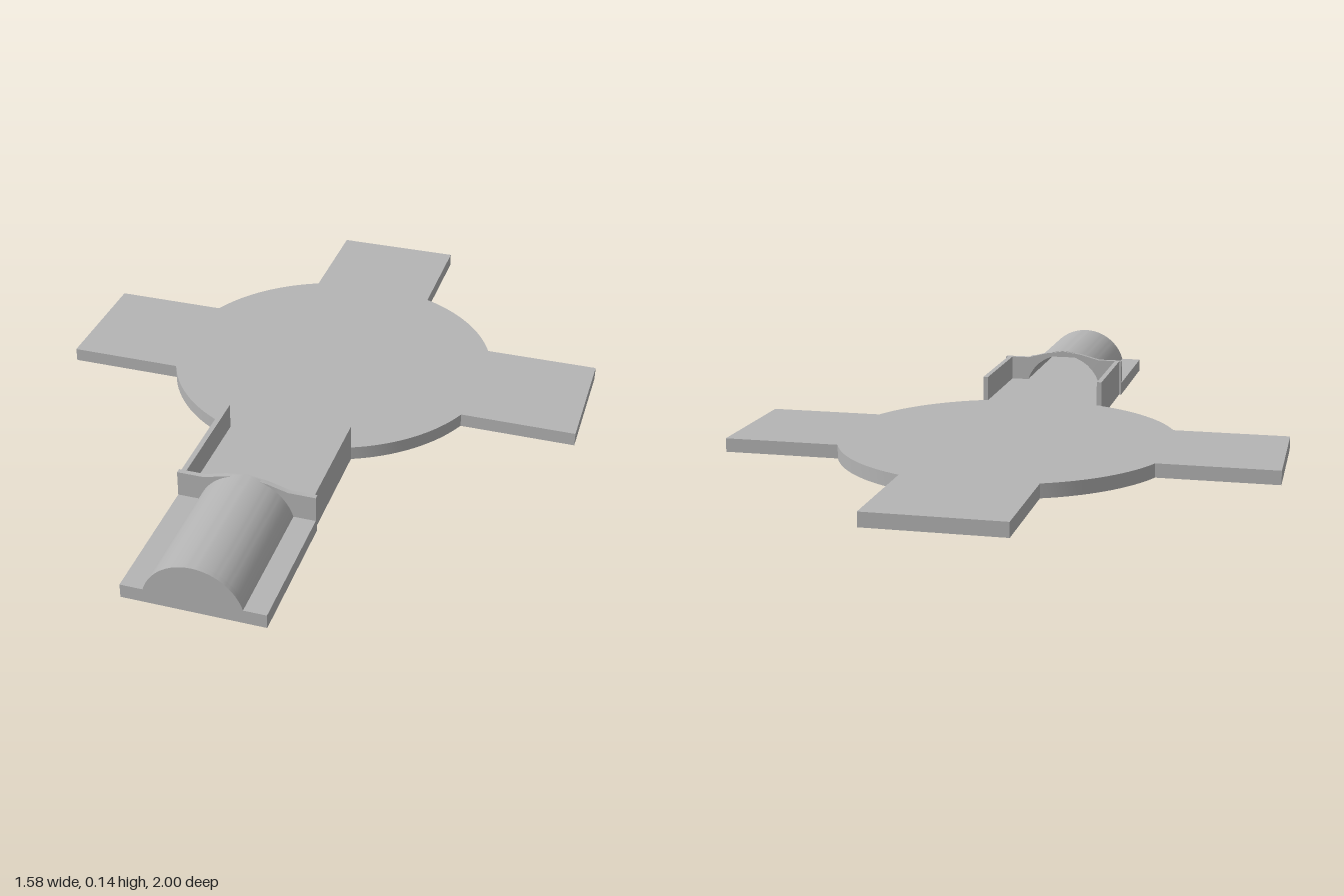
import * as THREE from 'three';
import { toCreasedNormals } from 'three/addons/utils/BufferGeometryUtils.js';

const T = 0.04; // floor thickness

export function createModel() {
  const model = new THREE.Group();
  model.name = 'crossPlatform';
  const grey = new THREE.MeshStandardMaterial({ color: 0xb4b4b4 });
  grey.name = 'grey';

  const add = (name, geometry, x = 0, y = 0, z = 0) => {
    const mesh = new THREE.Mesh(geometry, grey);
    mesh.name = name;
    mesh.position.set(x, y, z);
    model.add(mesh);
  };
  const extrude = (shape, depth, curveSegments = 12) =>
    toCreasedNormals(new THREE.ExtrudeGeometry(shape, { depth, bevelEnabled: false, curveSegments }), 0.35);

  // Round floor with four arms, drawn as one outline around the disc centre
  const R = 0.49, W = 0.19, cz = -0.21;
  const half = Math.asin(W / R);
  const reach = [0.79, 0.79, 0.79, 0.80]; // left, back, right, front
  const outline = new THREE.Shape();
  reach.forEach((d, i) => {
    const a = i * Math.PI / 2, c = Math.cos(a), s = Math.sin(a);
    const inner = Math.sqrt(R * R - W * W);
    [[inner, -W], [d, -W], [d, W], [inner, W]].forEach(([u, v], k) => {
      const x = u * c - v * s, y = u * s + v * c;
      if (i === 0 && k === 0) outline.moveTo(x, y);
      else outline.lineTo(x, y);
    });
    outline.absarc(0, 0, R, a + half, a + Math.PI / 2 - half, false);
  });
  add('floorPlate', extrude(outline, T, 8).rotateX(-Math.PI / 2), 0, 0, cz);

  // Entrance base
  add('entranceBase', new THREE.BoxGeometry(0.394, T, 0.41), 0, T / 2, 0.795);

  // Side walls of the passage
  for (const side of [-1, 1]) {
    add(side > 0 ? 'leftWall' : 'rightWall',
      new THREE.BoxGeometry(0.015, 0.115, 0.345), side * 0.1826, 0.0575, 0.4175);
  }

  // Half-round profile standing on the floor, part of a circle centred on the ground
  const arc = (r, cls) => {
    const p = new cls();
    const a = Math.asin(T / r);
    p.absarc(0, 0, r, a, Math.PI - a, false);
    p.closePath();
    return p;
  };

  // Cross wall with an arched doorway
  const wall = new THREE.Shape([
    [-0.197, T], [-0.12, T], [-0.12, T + 0.001], ...Array.from({ length: 15 }, (_, i) => {
      const a = Math.PI - 0.34 - i * (Math.PI - 0.68) / 14;
      return [0.127 * Math.cos(a), 0.127 * Math.sin(a)];
    }), [0.12, T], [0.197, T], [0.197, 0.115], [0.12, 0.115], [0.06, 0.131], [0, 0.14],
    [-0.06, 0.131], [-0.12, 0.115], [-0.197, 0.115],
  ].map(([x, y]) => new THREE.Vector2(x, y)));
  add('archedWall', extrude(wall, 0.015), 0, 0, 0.585);

  // Tunnel shell: outer arch, then back along the inner arch
  const ro = 0.14, ri = 0.127;
  const ao = Math.asin(T / ro), ai = Math.asin(T / ri);
  const shell = new THREE.Shape();
  shell.absarc(0, 0, ro, ao, Math.PI - ao, false);
  shell.absarc(0, 0, ri, Math.PI - ai, ai, true);
  shell.closePath();
  add('tunnelShell', extrude(shell, 0.395, 20), 0, 0, 0.59);

  // Closed front end of the tunnel
  add('tunnelFront', extrude(arc(ro, THREE.Shape), 0.015, 20), 0, 0, 0.985);

  return model;
}
